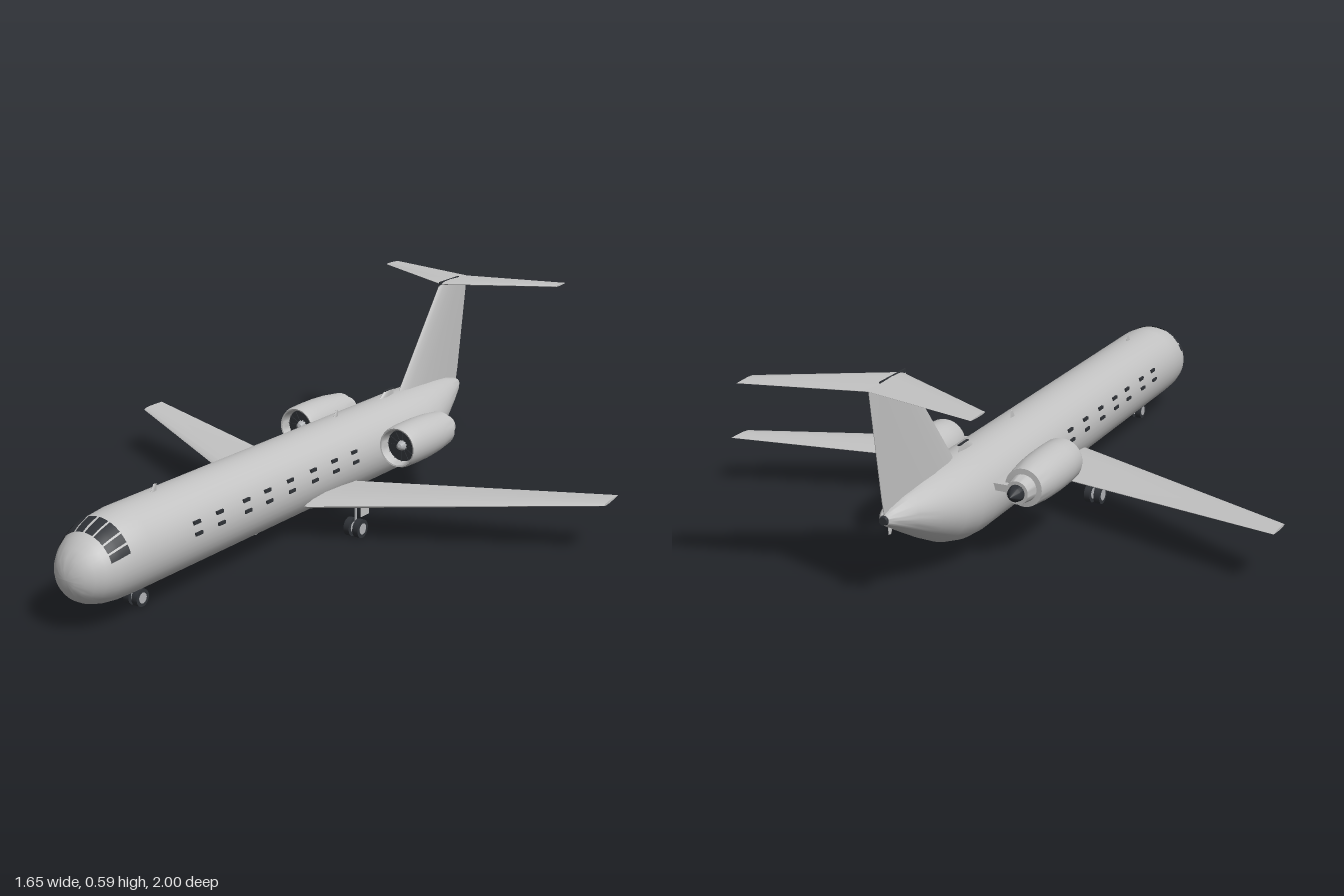
import * as THREE from 'three';
import { toCreasedNormals } from 'three/addons/utils/BufferGeometryUtils.js';

const mat = (name, color, side = THREE.FrontSide) => {
  const m = new THREE.MeshStandardMaterial({ color, side });
  m.name = name;
  return m;
};
const V = (x, y, z) => new THREE.Vector3(x, y, z);

// Closed loft through rings of equal length, always wound outward
function loft(rings, crease = 0.6) {
  const n = rings[0].length, pos = [], idx = [];
  rings.forEach(r => r.forEach(p => pos.push(p.x, p.y, p.z)));
  for (let i = 0; i < rings.length - 1; i++) {
    for (let j = 0; j < n; j++) {
      const a = i * n + j, b = i * n + (j + 1) % n;
      idx.push(a, b, b + n, a, b + n, a + n);
    }
  }
  const last = (rings.length - 1) * n;
  for (let j = 1; j < n - 1; j++) idx.push(0, j + 1, j, last, last + j, last + j + 1);
  const at = i => V(pos[i * 3], pos[i * 3 + 1], pos[i * 3 + 2]);
  let volume = 0;
  for (let i = 0; i < idx.length; i += 3) volume += at(idx[i]).dot(at(idx[i + 1]).cross(at(idx[i + 2])));
  if (volume < 0) idx.reverse();
  const g = new THREE.BufferGeometry();
  g.setAttribute('position', new THREE.Float32BufferAttribute(pos, 3));
  g.setIndex(idx);
  return toCreasedNormals(g, crease);
}

// Airfoil ring from leading to trailing edge, thickened along an axis
const FOIL = [[0, 0], [0.03, 0.4], [0.12, 0.8], [0.35, 1], [0.7, 0.6], [1, 0.06]];
function foil(le, te, thick, axis) {
  const point = ([c, h], s) => le.clone().lerp(te, c).addScaledVector(axis, s * h * thick / 2);
  return [...FOIL.map(f => point(f, 1)), ...FOIL.slice(1).reverse().map(f => point(f, -1))];
}

// Fuselage stations: z, centre y, half width, half height
const STATIONS = [
  [1, 0.15, 0.001, 0.001], [0.996, 0.15, 0.026, 0.026], [0.985, 0.152, 0.05, 0.05],
  [0.968, 0.154, 0.069, 0.069], [0.945, 0.157, 0.085, 0.085], [0.91, 0.162, 0.099, 0.1],
  [0.87, 0.167, 0.107, 0.11], [0.8, 0.17, 0.11, 0.115], [-0.48, 0.17, 0.11, 0.115],
  [-0.55, 0.174, 0.108, 0.111], [-0.62, 0.184, 0.098, 0.1], [-0.7, 0.202, 0.077, 0.077],
  [-0.78, 0.221, 0.051, 0.05], [-0.84, 0.232, 0.028, 0.026], [-0.865, 0.235, 0.014, 0.014],
];
function skin(z, angle, off = 0) {
  let i = 0;
  while (i < STATIONS.length - 2 && z < STATIONS[i + 1][0]) i++;
  const a = STATIONS[i], b = STATIONS[i + 1], t = (a[0] - z) / (a[0] - b[0]);
  const [cy, rx, ry] = [1, 2, 3].map(k => a[k] + (b[k] - a[k]) * t);
  return V(Math.sin(angle) * (rx + off), cy + Math.cos(angle) * (ry + off), z);
}

// Thin pane following the fuselage skin
function pane(z0, z1, a0, a1) {
  const g = new THREE.PlaneGeometry(1, 1, 6, 6), p = g.attributes.position;
  for (let i = 0; i < p.count; i++) {
    const q = skin(z0 + (z1 - z0) * (p.getY(i) + 0.5), a0 + (a1 - a0) * (p.getX(i) + 0.5), 0.003);
    p.setXYZ(i, q.x, q.y, q.z);
  }
  g.computeVertexNormals();
  return g;
}

// Turned part along the z axis; profile is [radius, distance backward]
function turned(profile) {
  const g = new THREE.LatheGeometry(profile.map(p => new THREE.Vector2(...p)), 32);
  return toCreasedNormals(g.rotateX(-Math.PI / 2), 0.6);
}

export function createModel() {
  const model = new THREE.Group();
  model.name = 'airliner';
  const grey = mat('light grey paint', 0xc2c2c2);
  const dark = mat('dark glass and rubber', 0x2f3237);
  const glass = mat('dark pane', 0x2f3237, THREE.DoubleSide);
  glass.color.copy(dark.color);
  const metal = mat('bare metal', 0xb0b2b5);

  const add = (name, geometry, material, x = 0, y = 0, z = 0, parent = model) => {
    const m = new THREE.Mesh(geometry, material);
    m.name = name;
    m.position.set(x, y, z);
    parent.add(m);
    return m;
  };
  const box = (name, w, h, d, material, x, y, z, parent) =>
    add(name, new THREE.BoxGeometry(w, h, d), material, x, y, z, parent);

  // Fuselage and tail exhaust
  const rings = STATIONS.map(([z]) =>
    Array.from({ length: 40 }, (_, j) => skin(z, j / 40 * Math.PI * 2)));
  add('fuselage', loft(rings, 0.9), grey);
  add('tailExhaust', turned([[0.013, 0], [0.011, 0.008], [0, 0.008]]), dark, 0, 0.235, -0.864);

  // Swept wing, stabilizer and fin
  const up = V(0, 1, 0), side = V(1, 0, 0);
  add('wing', loft([
    [-0.825, 0.147, -0.26, -0.35, 0.008], [-0.1, 0.108, 0.125, -0.13, 0.034],
    [0.1, 0.108, 0.125, -0.13, 0.034], [0.825, 0.147, -0.26, -0.35, 0.008],
  ].map(([x, y, le, te, t]) => foil(V(x, y, le), V(x, y + 0.006, te), t, up))), grey);
  add('stabilizer', loft([
    [-0.315, -0.93, -1, 0.005], [0, -0.755, -0.92, 0.014], [0.315, -0.93, -1, 0.005],
  ].map(([x, le, te, t]) => foil(V(x, 0.582, le), V(x, 0.582, te), t, up))), grey);
  add('fin', loft([
    foil(V(0, 0.2, -0.45), V(0, 0.23, -0.86), 0.034, side),
    foil(V(0, 0.285, -0.515), V(0, 0.285, -0.872), 0.032, side),
    foil(V(0, 0.58, -0.745), V(0, 0.58, -0.917), 0.018, side),
  ]), grey);
  box('finCapSeam', 0.004, 0.014, 0.12, dark, 0, 0.583, -0.805);

  // Cockpit windows
  for (const s of [-1, 1]) {
    [[2, 17], [20, 39], [42, 55], [58, 70]].forEach(([a, b]) =>
      add('cockpitWindow', pane(0.875, 0.93, s * a * Math.PI / 180, s * b * Math.PI / 180), glass));
  }

  // Cabin windows, in two rows each side
  for (const z of [0.62, 0.525, 0.41, 0.315, 0.21, 0.1, -0.005, -0.107]) {
    for (const s of [-1, 1]) {
      for (const y of [0.181, 0.21]) {
        const x = 0.11 * Math.sqrt(1 - ((y - 0.17) / 0.115) ** 2);
        box('cabinWindow', 0.008, 0.009, 0.028, dark, s * x, y, z);
      }
    }
  }

  // Engines
  const nacelle = turned([
    [0.047, 0.035], [0.05, 0.012], [0.054, 0.001], [0.058, 0], [0.062, 0.012], [0.064, 0.06],
    [0.064, 0.12], [0.061, 0.18], [0.053, 0.245], [0.038, 0.246], [0.032, 0.285], [0, 0.285],
  ]);
  const blade = new THREE.BoxGeometry(0.002, 0.046, 0.002);
  for (const s of [-1, 1]) {
    const engine = new THREE.Group();
    engine.name = s > 0 ? 'leftEngine' : 'rightEngine';
    engine.position.set(s * 0.18, 0.208, -0.217);
    model.add(engine);
    add('nacelle', nacelle, grey, 0, 0, 0, engine);
    add('fan', new THREE.CircleGeometry(0.049, 32), dark, 0, 0, -0.03, engine);
    for (let i = 0; i < 12; i++) {
      const a = i * Math.PI / 6;
      const b = add('fanBlade', blade, dark, -Math.sin(a) * 0.025, Math.cos(a) * 0.025, -0.028, engine);
      b.rotation.z = a;
    }
    add('spinner', turned([[0, 0], [0.009, 0.005], [0.016, 0.022]].reverse()
      .map(([r, d]) => [r, -0.022 + d]).reverse()), metal, 0, 0, -0.03, engine).material = metal;
    add('exhaustCone', turned([[0, 0.284], [0.023, 0.284], [0.02, 0.3], [0, 0.325]]), dark, 0, 0, 0, engine);
    box('pylon', 0.06, 0.02, 0.2, grey, s * 0.115, 0.205, -0.38);
  }

  // Landing gear: paired wheels with metal hubs on a thin leg
  const cyl = (r, w) => new THREE.CylinderGeometry(r, r, w, 24).rotateZ(Math.PI / 2);
  const gear = (name, x, z, r, gap, legTop) => {
    const g = new THREE.Group();
    g.name = name;
    g.position.set(x, r, z);
    model.add(g);
    for (const s of [-1, 1]) {
      add('tyre', cyl(r, 0.018), dark, s * gap, 0, 0, g);
      add('hub', cyl(r * 0.6, 0.02), metal, s * gap, 0, 0, g);
    }
    add('axle', cyl(0.004, gap * 2), metal, 0, 0, 0, g);
    const h = legTop - r;
    add('leg', new THREE.CylinderGeometry(0.004, 0.004, h, 10), metal, 0, h / 2, 0, g);
  };
  gear('noseGear', 0, 0.745, 0.024, 0.014, 0.07);
  for (const s of [-1, 1]) {
    gear('mainGear', s * 0.182, 0, 0.027, 0.015, 0.11);
    box('gearDoor', 0.003, 0.03, 0.04, grey, s * 0.212, 0.085, 0);
  }

  // Antenna blades and dorsal scoop
  const antenna = (z, y0, y1) => add('antenna', loft([
    foil(V(0, y0, z + 0.015), V(0, y0, z - 0.012), 0.006, side),
    foil(V(0, y1, z), V(0, y1, z - 0.012), 0.004, side),
  ]), grey);
  antenna(0.665, 0.28, 0.304);
  antenna(-0.165, 0.28, 0.304);
  antenna(0.235, 0.06, 0.036);
  antenna(-0.835, 0.215, 0.19);
  add('dorsalScoop', loft([
    foil(V(0, 0.275, -0.39), V(0, 0.275, -0.485), 0.014, side),
    foil(V(0, 0.302, -0.43), V(0, 0.302, -0.48), 0.01, side),
  ]), grey);
  box('scoopSlot', 0.007, 0.003, 0.05, dark, 0, 0.303, -0.455);

  return model;
}
